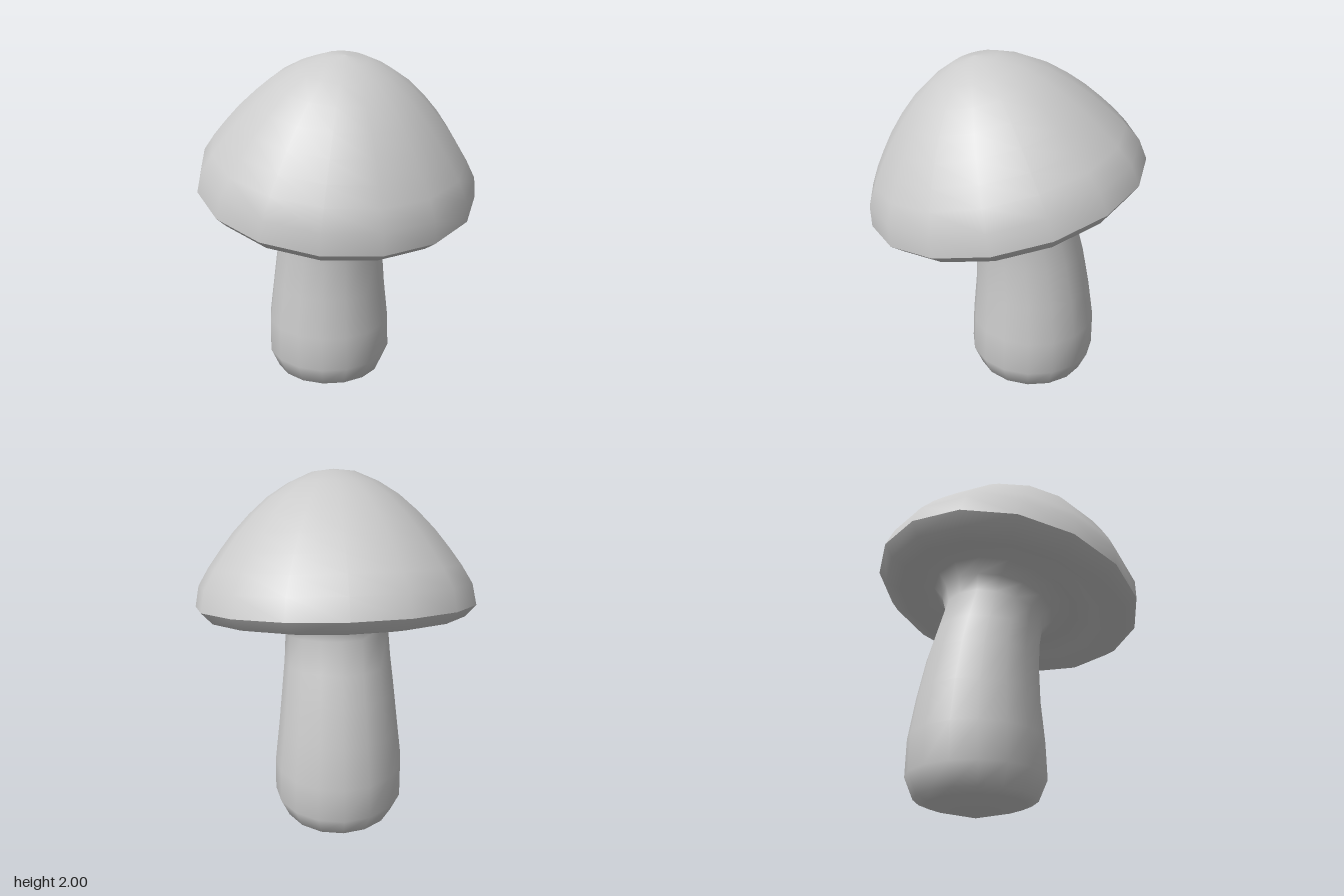
import * as THREE from 'three';

const SIDES = 16;
const TILT = 0.229; // the cap leans towards the front
const CAP_Y = 1.285;
const material = new THREE.MeshStandardMaterial({ color: 0xcccccc, side: THREE.DoubleSide });

// Skin a stack of rings, each [y, z, radius, tilt], listed from bottom to top
function loft(rings) {
  const positions = [];
  const index = [];
  rings.forEach(([y, z, r, tilt], i) => {
    for (let k = 0; k < SIDES; k++) {
      const a = (k / SIDES) * Math.PI * 2;
      const d = r * Math.cos(a);
      positions.push(r * Math.sin(a), y - d * Math.sin(tilt), z + d * Math.cos(tilt));
      if (i === 0) continue;
      const n = (k + 1) % SIDES;
      const low = (i - 1) * SIDES;
      const high = i * SIDES;
      index.push(low + k, low + n, high + n, low + k, high + n, high + k);
    }
  });
  const geometry = new THREE.BufferGeometry();
  geometry.setAttribute('position', new THREE.Float32BufferAttribute(positions, 3));
  geometry.setIndex(index);
  geometry.computeVertexNormals();
  return geometry;
}

// Ring at height u along the cap's own axis, optionally shifted in z
const capRing = (r, u, dz = 0) => [
  CAP_Y + u * Math.cos(TILT) - dz * Math.sin(TILT),
  u * Math.sin(TILT) + dz * Math.cos(TILT),
  r,
  TILT,
];

export function createModel() {
  const group = new THREE.Group();

  // Domed cap
  const profile = [
    [0.77, 0], [0.748, 0.113], [0.69, 0.21], [0.625, 0.3], [0.55, 0.395],
    [0.46, 0.49], [0.36, 0.578], [0.25, 0.648], [0.12, 0.705], [0, 0.72],
  ].map(([r, u]) => new THREE.Vector2(r, u));
  const cap = new THREE.Mesh(new THREE.LatheGeometry(profile, SIDES), material);
  cap.name = 'cap';
  cap.position.y = CAP_Y;
  cap.rotation.x = TILT;
  group.add(cap);

  // Curved stem that flares into the hollow underside of the cap
  const stem = new THREE.Mesh(loft([
    [0, -0.17, 0.001, 0],
    [0.062, -0.17, 0.26, 0],
    [0.087, -0.17, 0.32, 0],
    [0.2, -0.17, 0.369, 0],
    [0.4, -0.173, 0.364, 0],
    [0.63, -0.165, 0.336, 0],
    [0.85, -0.143, 0.312, 0.02],
    [1.0, -0.115, 0.295, 0.07],
    [1.145, -0.08, 0.285, 0.19],
    capRing(0.33, -0.08, -0.04),
    capRing(0.42, -0.025, -0.01),
    capRing(0.54, -0.045),
    capRing(0.62, -0.08),
    capRing(0.71, -0.062),
    capRing(0.77, 0),
  ]), material);
  stem.name = 'stemAndUnderside';
  group.add(stem);

  return group;
}
